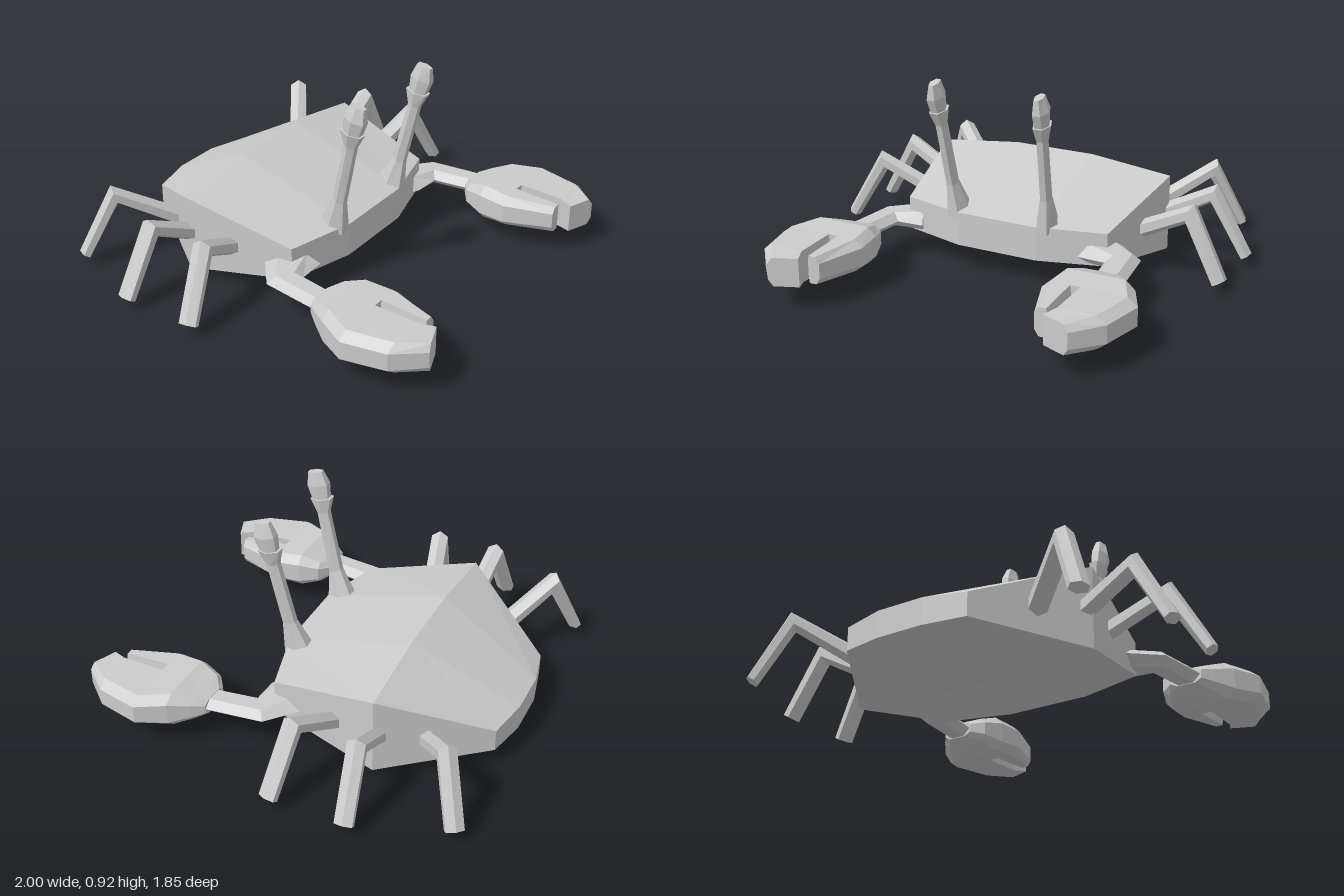
import * as THREE from 'three';

const material = new THREE.MeshStandardMaterial({ color: 0xcccccc, flatShading: true });

// Skins a row of equal-length rings (counter-clockwise about the travel direction)
// and closes both ends; side = -1 mirrors the part across x.
function loft(name, rings, side = 1) {
  const pos = [];
  const tri = (...pts) => {
    if (side < 0) pts.reverse();
    for (const p of pts) pos.push(p[0] * side, p[1], p[2]);
  };
  const quad = (a, b, c, d) => { tri(a, b, c); tri(a, c, d); };
  const n = rings[0].length;
  for (let r = 0; r < rings.length - 1; r++) {
    const a = rings[r], b = rings[r + 1];
    for (let i = 0; i < n; i++) {
      const j = (i + 1) % n;
      quad(a[i], a[j], b[j], b[i]);
    }
  }
  const first = rings[0], last = rings[rings.length - 1];
  for (let i = 0; i < n / 2 - 1; i++) {
    quad(last[i], last[i + 1], last[n - 2 - i], last[n - 1 - i]);
    quad(first[n - 1 - i], first[n - 2 - i], first[i + 1], first[i]);
  }
  const geo = new THREE.BufferGeometry();
  geo.setAttribute('position', new THREE.Float32BufferAttribute(pos, 3));
  geo.computeVertexNormals();
  const mesh = new THREE.Mesh(geo, material);
  mesh.name = name;
  return mesh;
}

// Six-sided rings along a bent path. Stations are [x, y, z, radius along the
// normal, radius across it]; the normal is that of the plane of the bend.
function limbRings(stations, normal, turn = Math.PI / 6) {
  const pts = stations.map(s => new THREE.Vector3(s[0], s[1], s[2]));
  const n = new THREE.Vector3(...normal).normalize();
  return stations.map((s, k) => {
    const t = new THREE.Vector3();
    if (k > 0) t.add(pts[k].clone().sub(pts[k - 1]).normalize());
    if (k < pts.length - 1) t.add(pts[k + 1].clone().sub(pts[k]).normalize());
    const m = t.cross(n).normalize();
    return Array.from({ length: 6 }, (_, i) => {
      const a = turn + i * Math.PI / 3;
      return pts[k].clone()
        .addScaledVector(n, s[3] * Math.cos(a))
        .addScaledVector(m, s[4] * Math.sin(a)).toArray();
    });
  });
}

// Shell section: wide outer corners and a narrower, crowned middle
function shellRing(xo, zo, xi, zi, bottomO, bottomI, topO, topI) {
  return [
    [-xo, bottomO, zo], [-xi, bottomI, zi], [xi, bottomI, zi], [xo, bottomO, zo],
    [xo, topO, zo], [xi, topI, zi], [-xi, topI, zi], [-xo, topO, zo],
  ];
}

// Claw section between an inner and an outer edge, each with its own bevel
function clawRing(xi, zi, xo, zo, h, bevelI, bevelO) {
  const y = 0.178, band = h * 0.55;
  const at = (x, dy) => [x, y + dy, zi + (zo - zi) * (x - xi) / (xo - xi)];
  const hi = bevelI ? band : h * 0.9;
  return [
    at(xi, -hi), at(xi + bevelI, -h), at(xo - bevelO, -h), at(xo, -band),
    at(xo, band), at(xo - bevelO, h), at(xi + bevelI, h), at(xi, hi),
  ];
}

export function createModel() {
  const model = new THREE.Group();
  model.name = 'crab';

  model.add(loft('shell', [
    shellRing(0.30, -0.87, 0.11, -0.91, 0.085, 0.08, 0.19, 0.2),
    shellRing(0.60, -0.425, 0.20, -0.425, 0.04, 0.003, 0.405, 0.45),
    shellRing(0.51, 0.09, 0.20, 0.175, 0.125, 0.125, 0.28, 0.285),
  ]));

  // Legs: hip, knee and foot
  const legs = [
    ['frontLeg', [0.48, 0.17, -0.235], [0.805, 0.345, -0.155], [0.965, 0.06, -0.115]],
    ['middleLeg', [0.48, 0.17, -0.425], [0.81, 0.345, -0.45], [0.972, 0.06, -0.468]],
    ['backLeg', [0.43, 0.16, -0.60], [0.69, 0.345, -0.79], [0.81, 0.06, -0.885]],
  ];

  for (const side of [1, -1]) {
    const label = side > 0 ? 'left' : 'right';
    const add = (name, rings) => model.add(loft(label + name, rings, side));

    for (const [name, hip, knee, foot] of legs) {
      const normal = [hip[2] - foot[2], 0, foot[0] - hip[0]];
      add(name[0].toUpperCase() + name.slice(1), limbRings([
        [...hip, 0.046, 0.042], [...knee, 0.046, 0.05], [...foot, 0.046, 0.03],
      ], normal));
    }

    // Eye: flared foot, thin stalk, collar and faceted head
    add('EyeStalk', limbRings([
      [0.225, 0.27, 0.11, 0.055, 0.075],
      [0.238, 0.42, 0.15, 0.03, 0.035],
      [0.25, 0.715, 0.218, 0.03, 0.032],
      [0.255, 0.785, 0.23, 0.042, 0.06],
    ], [1, 0, 0], 0));
    add('Eye', limbRings([
      [0.255, 0.775, 0.23, 0.034, 0.045],
      [0.258, 0.85, 0.248, 0.039, 0.058],
      [0.256, 0.915, 0.262, 0.022, 0.04],
    ], [1, 0, 0], 0));

    // Arm from the shell corner to the wrist
    add('Arm', limbRings([
      [0.455, 0.178, 0.05, 0.05, 0.125],
      [0.597, 0.178, 0.12, 0.039, 0.083],
      [0.628, 0.178, 0.36, 0.039, 0.07],
    ], [0, 1, 0]));

    // Claw: palm plus two fingers with a slot between them
    add('ClawPalm', [
      clawRing(0.55, 0.33, 0.70, 0.335, 0.036, 0.03, 0.03),
      clawRing(0.49, 0.375, 0.74, 0.385, 0.055, 0.03, 0.03),
      clawRing(0.455, 0.47, 0.80, 0.47, 0.086, 0.04, 0.045),
      clawRing(0.44, 0.60, 0.865, 0.60, 0.076, 0.04, 0.045),
    ]);
    add('OuterFinger', [
      clawRing(0.615, 0.60, 0.865, 0.60, 0.076, 0, 0.045),
      clawRing(0.61, 0.81, 0.82, 0.80, 0.073, 0, 0.045),
      clawRing(0.582, 0.875, 0.71, 0.925, 0.066, 0, 0.02),
    ]);
    add('InnerFinger', [
      clawRing(0.44, 0.60, 0.572, 0.60, 0.076, 0.04, 0.004),
      clawRing(0.515, 0.82, 0.572, 0.82, 0.064, 0.02, 0.004),
    ]);
  }
  return model;
}
